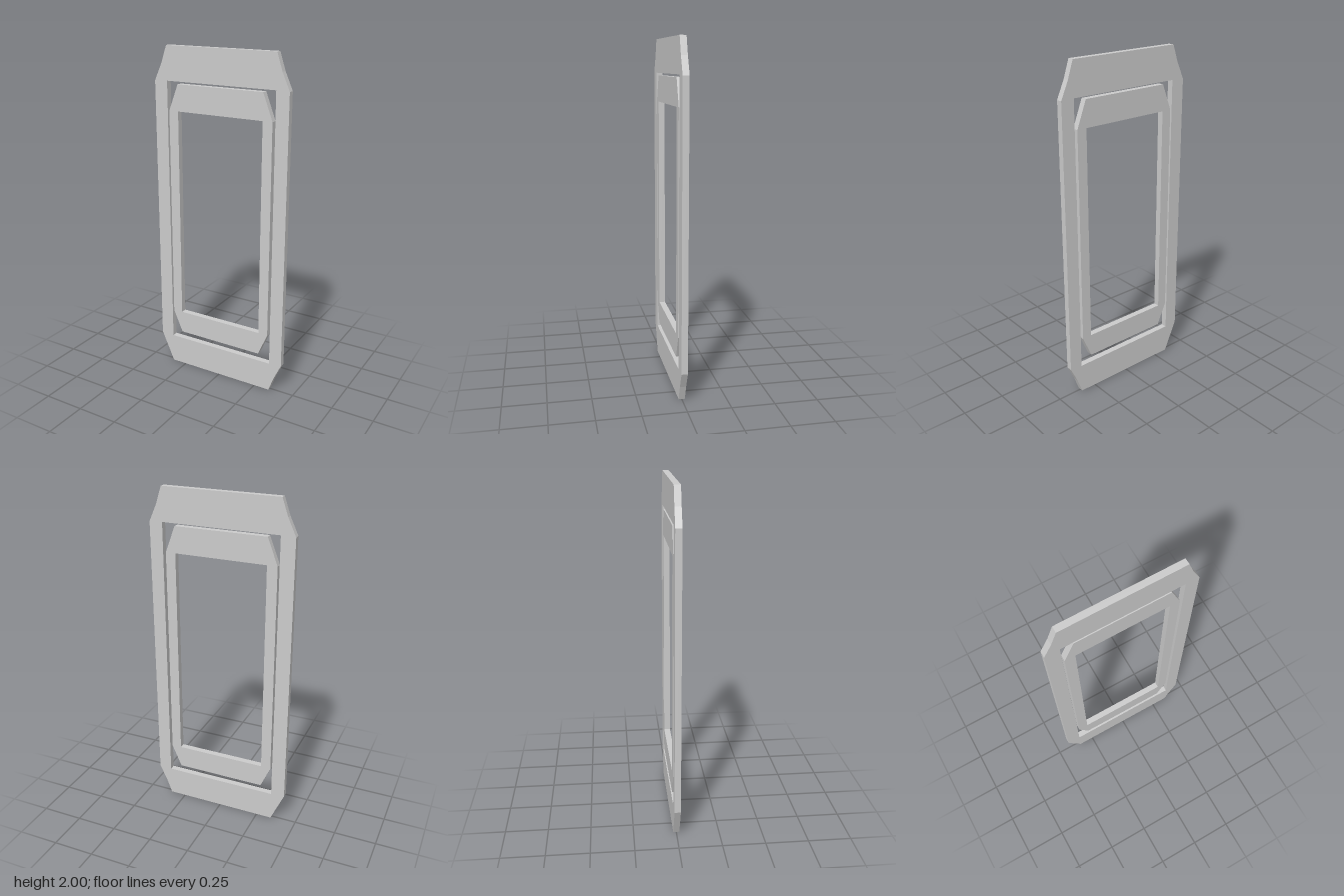
import * as THREE from 'three';

const DEPTH = 0.036;

// Flat frame: chamfered outline with a rectangular opening
function makeFrame(name, outline, [x0, x1, y0, y1], material) {
  const shape = new THREE.Shape(outline.map(([x, y]) => new THREE.Vector2(x, y)));
  shape.holes.push(new THREE.Path([
    new THREE.Vector2(x0, y0), new THREE.Vector2(x0, y1),
    new THREE.Vector2(x1, y1), new THREE.Vector2(x1, y0),
  ]));
  const geometry = new THREE.ExtrudeGeometry(shape, { depth: DEPTH, bevelEnabled: false });
  geometry.translate(0, 0, -DEPTH / 2);
  const mesh = new THREE.Mesh(geometry, material);
  mesh.name = name;
  return mesh;
}

export function createModel() {
  const group = new THREE.Group();
  group.name = 'nestedFrames';
  const material = new THREE.MeshStandardMaterial({ color: 0xcccccc, flatShading: true });

  // Outer frame, with slightly hollowed chamfers
  group.add(makeFrame('outerFrame', [
    [-0.343, 0], [0.347, 0], [0.38, 0.09], [0.425, 0.185],
    [0.425, 1.8], [0.38, 1.9], [0.347, 2],
    [-0.343, 2], [-0.378, 1.9], [-0.425, 1.8], [-0.425, 0.185],
  ], [-0.342, 0.347, 0.18, 1.803], material));

  // Inner frame, standing free inside the opening
  group.add(makeFrame('innerFrame', [
    [-0.271, 0.226], [0.271, 0.226], [0.33, 0.362], [0.33, 1.634],
    [0.271, 1.788], [-0.271, 1.788], [-0.331, 1.634], [-0.331, 0.362],
  ], [-0.271, 0.271, 0.365, 1.634], material));

  return group;
}
